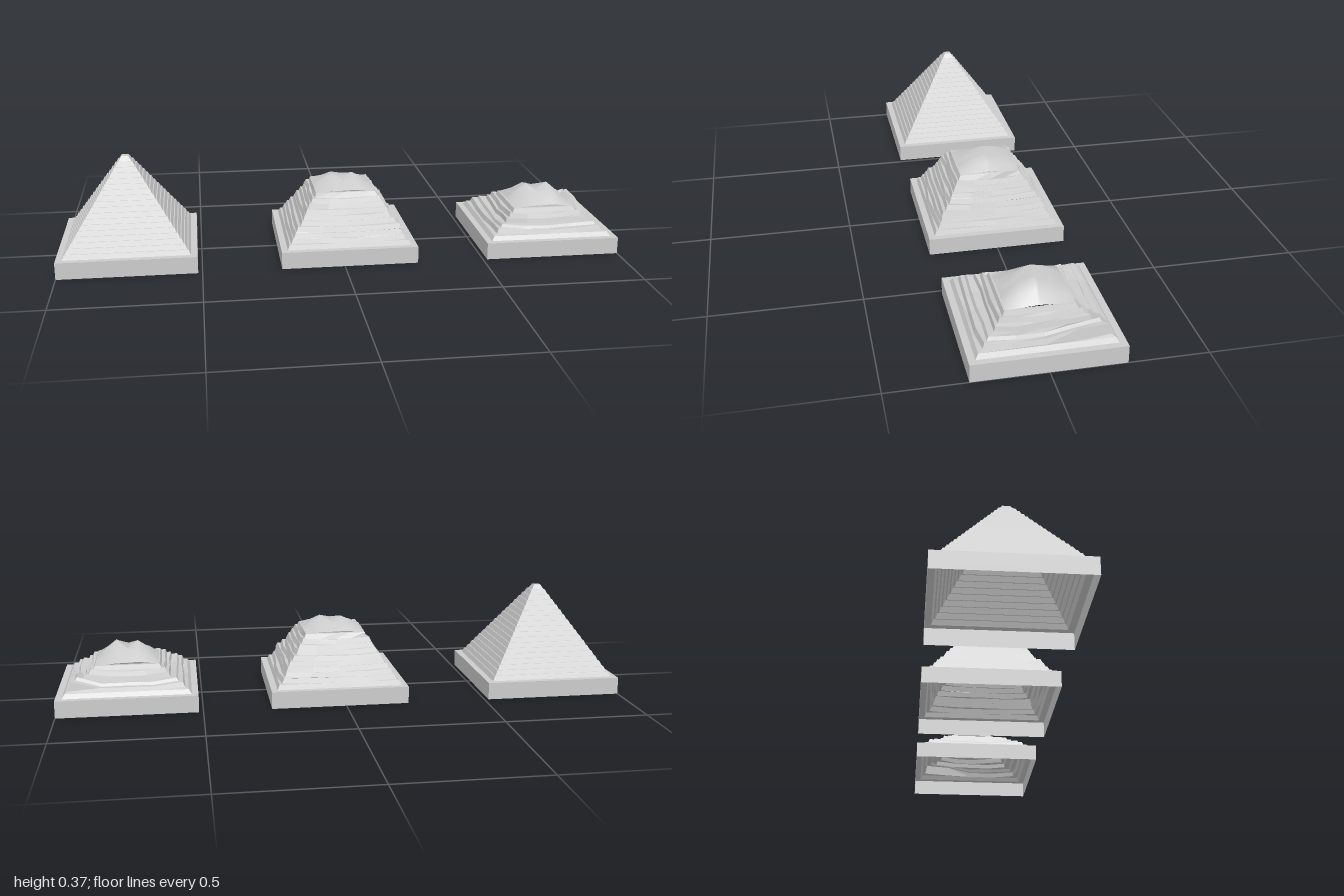
import * as THREE from 'three';

const BASE = 0.2425, PLINTH = 0.06, STEP = 0.0171;
const mat = flat => new THREE.MeshStandardMaterial({ color: 0xcccccc, flatShading: flat, side: THREE.DoubleSide });

// small repeatable noise in -1..1
const noise = (a, b) => {
  const s = Math.sin(a * 12.9898 + b * 78.233) * 43758.5453;
  return 2 * (s - Math.floor(s)) - 1;
};

// square shell through rings [half width, height]; n points per side, each moved by warp
function shell(name, rings, n = 1, warp = p => p) {
  const pos = [], idx = [], count = 4 * n;
  rings.forEach(([r, y], k) => {
    for (let i = 0; i < count; i++) {
      const side = Math.floor(i / n), t = (i % n) / n * 2 - 1;
      const [x, z] = [[t, 1], [1, -t], [-t, -1], [-1, t]][side];
      const p = warp(new THREE.Vector3(x * r, y, z * r), k, i, t);
      pos.push(p.x, p.y, p.z);
      if (k === 0) continue;
      const j = (i + 1) % count, a = (k - 1) * count, b = k * count;
      idx.push(a + i, a + j, b + j, a + i, b + j, b + i);
    }
  });
  const geo = new THREE.BufferGeometry();
  geo.setAttribute('position', new THREE.Float32BufferAttribute(pos, 3));
  geo.setIndex(idx);
  geo.computeVertexNormals();
  const mesh = new THREE.Mesh(geo, mat(true));
  mesh.name = name;
  return mesh;
}

// battered courses: each has a sloping face and a flat ledge above it
const courses = (count, radius, batter) => {
  const rings = [];
  for (let i = 0; i < count; i++) {
    rings.push([radius(i), PLINTH + i * STEP], [radius(i) - batter, PLINTH + (i + 1) * STEP]);
  }
  return rings;
};

// worn top: rolling mound with two off-set ridges and a saddle between them
function mound(half, y0, rise, sag) {
  const xs = [-1, -0.68, -0.33, 0, 0.36, 0.68, 1], zs = [-1, -0.5, -0.04, 0.04, 0.5, 1];
  const h = [
    [0, 0.08, 0.15, 0.12, 0.1, 0.05, 0],
    [0.06, 0.42, 0.72, 0.58, 0.52, 0.36, 0.05],
    [0.1, 0.5, 0.92, 0.48, 0.92, 0.55, 0.1],
    [0.1, 0.5, 0.9, 0.46, 1, 0.55, 0.1],
    [0.05, 0.36, 0.52, 0.58, 0.76, 0.42, 0.06],
    [0, 0.05, 0.1, 0.12, 0.15, 0.08, 0]];
  const pos = [], idx = [], w = xs.length;
  zs.forEach((z, j) => xs.forEach((x, i) => {
    const edge = Math.max(Math.abs(x), Math.abs(z)) === 1;
    pos.push(x * half, y0 + (edge ? -sag : 0) + h[j][i] * rise, z * half);
    if (i && j) {
      const d = j * w + i, c = d - 1, b = d - w, a = b - 1;
      idx.push(a, c, d, a, d, b);
    }
  }));
  const geo = new THREE.BufferGeometry();
  geo.setAttribute('position', new THREE.Float32BufferAttribute(pos, 3));
  geo.setIndex(idx);
  geo.computeVertexNormals();
  const mesh = new THREE.Mesh(geo, mat(false));
  mesh.name = 'wornTop';
  return mesh;
}

function site(name, x, ...parts) {
  const g = new THREE.Group();
  g.name = name;
  g.position.x = x;
  // hollow plinth: wall and top rim, open below
  g.add(shell('plinth', [[BASE, 0], [BASE, PLINTH], [0.22, PLINTH]]), ...parts);
  return g;
}

// uneven courses, sagging in the middle of each side
const erode = (amount, sag, seed, last) => (p, k, i, t) => {
  if (k < 2 || k >= last) return p;
  const s = 1 + amount * noise(Math.floor(k / 2) + seed, i);
  p.x *= s;
  p.z *= s;
  p.y += sag * (t * t - 0.5) + sag * 0.3 * noise(i, Math.floor(k / 2) + seed);
  return p;
};

export function createModel() {
  const model = new THREE.Group();
  model.name = 'pyramidStages';

  // intact pyramid, closed by a tiny flat tip
  const whole = courses(18, i => 0.22 - i * 0.0116, 0.008);
  whole[whole.length - 1][0] = 0.012;
  whole.push([0.0005, 0.368]);
  model.add(site('intactPyramid', -0.7575, shell('courses', whole)));

  // half worn pyramid
  const mid = courses(10, i => 0.22 - i * 0.0118, 0.007);
  mid.push([0.1, 0.232]);
  model.add(site('wornPyramid', 0.02,
    shell('courses', mid, 4, erode(0.03, 0.005, 3, mid.length - 2)),
    mound(0.104, 0.234, 0.041, 0.003)));

  // collapsed pyramid: broad low terraces below a worn block
  const low = [[0.22, 0.06], [0.21, 0.075], [0.198, 0.075], [0.192, 0.091], [0.178, 0.09],
    [0.172, 0.1], [0.15, 0.099], [0.146, 0.114], [0.134, 0.113], [0.128, 0.129],
    [0.118, 0.129], [0.112, 0.144], [0.104, 0.144]];
  const wear = erode(0.025, 0.01, 7, low.length - 3);
  const slump = (p, k, i, t) => {
    wear(p, k, i, t);
    // raised rubble at the back left corner
    if (k > 2 && k < 6 && p.x > 0.1 && p.z < -0.06) p.y += 0.018;
    return p;
  };
  model.add(site('collapsedPyramid', 0.7575,
    shell('courses', low, 4, slump),
    mound(0.108, 0.147, 0.063, 0.004)));

  return model;
}
